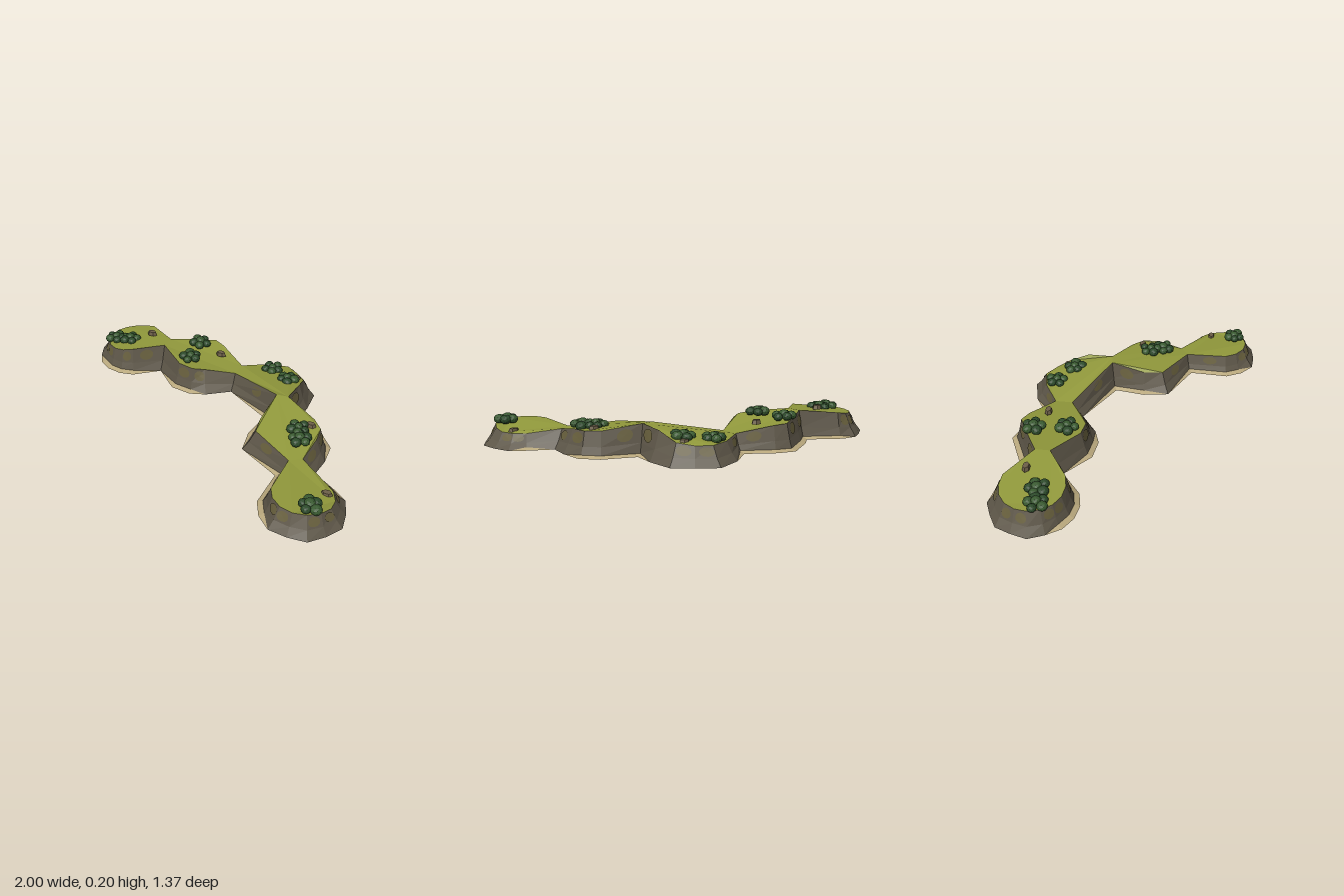
import * as THREE from 'three';

const mat = (name, color, side = THREE.FrontSide) =>
  Object.assign(new THREE.MeshStandardMaterial({ color, side, flatShading: true }), { name });

// Ground height anywhere, blended from a few spot heights (x, z, height)
const SPOTS = [
  [-.93, -.45, .12], [-.51, -.44, .162], [-.25, -.44, .15], [0, -.44, .1], [.27, -.61, .1],
  [.42, -.22, .168], [.66, 0, .135], [.64, .22, .102], [.36, .08, .12], [.88, .3, .08], [.75, .6, .112],
];
function ground(x, z) {
  let sum = 0, total = 0;
  for (const [sx, sz, y] of SPOTS) {
    const w = 1 / ((sx - x) ** 2 + (sz - z) ** 2 + .004) ** 2;
    sum += y * w;
    total += w;
  }
  return sum / total;
}

// Rounded end of the ridge, angles in degrees
const arc = (cx, cz, r, from, to, steps) => Array.from({ length: steps + 1 }, (_, i) => {
  const a = THREE.MathUtils.degToRad(from + (to - from) * i / steps);
  return [cx + r * Math.cos(a), cz + r * Math.sin(a)];
});

// Grass edge, clockwise from above: left end, back, right end, front
const EDGE = [
  ...arc(-.752, -.44, .175, 65, 285, 10),
  [-.51, -.485], [-.4, -.55], [-.25, -.63], [-.18, -.6], [0, -.49], [.155, -.585], [.27, -.61],
  [.35, -.56], [.415, -.49], [.43, -.37], [.42, -.215], [.62, -.115], [.68, -.05], [.69, .05], [.67, .2],
  ...arc(.765, .45, .165, -65, 165, 9),
  [.605, .245], [.355, .11], [.335, 0], [.35, -.205], [0, -.39], [-.165, -.295],
  [-.235, -.26], [-.33, -.27], [-.51, -.4],
].map(([x, z]) => new THREE.Vector2(x, z));
const N = EDGE.length;

// Runs of edge points with a sandy beach at the foot
const BEACHES = [[0, 3], [10, 15], [21, 23], [26, 26], [34, 36], [38, 39], [42, 43]];

// Cliff cross-section at each edge point, pushed outward along the corner normal
const SECTIONS = EDGE.map((p, i) => {
  const before = p.clone().sub(EDGE[(i + N - 1) % N]).normalize();
  const after = EDGE[(i + 1) % N].clone().sub(p).normalize();
  const along = before.add(after).normalize();
  const sandy = BEACHES.some(([a, b]) => i >= a && i <= b);
  const reach = sandy ? .068 : i % 2 ? .075 : .062;
  const h = ground(p.x, p.y);
  const at = (t, y) => new THREE.Vector3(p.x + along.y * reach * t, y, p.y - along.x * reach * t);
  return {
    sandy,
    top: at(0, h),
    mid: at(sandy ? .32 : .5, h * .4),
    foot: at(sandy ? .55 : 1, sandy ? .012 : 0),
    shore: at(1, 0),
  };
});

function surface(points) {
  const g = new THREE.BufferGeometry().setFromPoints(points);
  g.computeVertexNormals();
  return g;
}

// Closed band between two levels of the cross-sections
function band(upper, lower, keep = () => true) {
  const pts = [];
  SECTIONS.forEach((p, i) => {
    const q = SECTIONS[(i + 1) % N];
    if (keep(p, q)) pts.push(p[upper], q[upper], q[lower], p[upper], q[lower], p[lower]);
  });
  return surface(pts);
}

// Oval moss plates lying on the steep part of the cliff
function mossPatches() {
  const pts = [];
  SECTIONS.forEach((p, i) => {
    const q = SECTIONS[(i + 1) % N];
    const length = p.top.distanceTo(q.top);
    if (length < .065 || i % 3 === 1) return;
    const normal = q.top.clone().sub(p.top).cross(p.mid.clone().sub(p.top)).normalize();
    const on = (u, v) => p.top.clone().lerp(q.top, u)
      .lerp(p.mid.clone().lerp(q.mid, u), v).addScaledVector(normal, .004);
    const ru = Math.min(.4, .045 / length), cu = i % 2 ? .42 : .56;
    const rim = k => on(cu + ru * Math.cos(k * Math.PI / 6), .5 + .36 * Math.sin(k * Math.PI / 6));
    for (let k = 0; k < 12; k++) pts.push(on(cu, .5), rim(k), rim(k + 1));
  });
  return surface(pts);
}

export function createModel() {
  const model = new THREE.Group();
  model.name = 'grassyRidge';
  const both = THREE.DoubleSide;
  const grass = mat('grass', 0x929a3c, both), rock = mat('rock', 0x5d5648, both);
  const sand = mat('sand', 0xb9a87d, both), moss = mat('moss', 0x655d3b, both);
  const leafDark = mat('dark leaves', 0x2c4a2a), leafLight = mat('light leaves', 0x38592f);
  const stone = mat('stone', 0x6e6049);
  const add = (name, geo, material, parent = model) => {
    const mesh = new THREE.Mesh(geo, material);
    mesh.name = name;
    parent.add(mesh);
    return mesh;
  };

  // Grass plateau following the ground height
  const plateau = new THREE.ShapeGeometry(
    new THREE.Shape(EDGE.map(p => new THREE.Vector2(p.x, -p.y))));
  plateau.rotateX(-Math.PI / 2);
  const pos = plateau.attributes.position;
  for (let i = 0; i < pos.count; i++) pos.setY(i, ground(pos.getX(i), pos.getZ(i)));
  plateau.computeVertexNormals();
  add('grassTop', plateau, grass);

  // Cliff, its flared foot, moss and beach
  add('cliff', band('top', 'mid'), rock);
  add('cliffFoot', band('mid', 'foot'), rock);
  add('cliffMoss', mossPatches(), moss);
  add('beach', band('foot', 'shore', (p, q) => p.sandy || q.sandy), sand);

  let seed = 7;
  const rand = () => (seed = (seed * 16807) % 2147483647) / 2147483647;

  // Bushes: a ring of round blobs about a taller one
  const blob = new THREE.IcosahedronGeometry(1, 1);
  const bushes = [
    [-.32, -.54], [-.295, -.355], [-.87, -.39], [-.775, -.41],
    [.195, -.525], [.325, -.44], [.57, .01], [.605, .085], [.83, .535],
  ];
  for (const [x, z] of bushes) {
    const bush = new THREE.Group();
    bush.name = 'bush';
    bush.position.set(x, ground(x, z), z);
    model.add(bush);
    const turn = rand() * 6;
    for (let k = 0; k < 6; k++) {
      const centre = k === 5;
      const a = turn + k * Math.PI * .4, d = centre ? 0 : .034 + rand() * .012;
      const r = .025 + rand() * .008;
      const leaf = add('bushBlob', blob, k % 2 ? leafLight : leafDark, bush);
      leaf.position.set(Math.cos(a) * d, centre ? .024 : .01 + rand() * .008, Math.sin(a) * d);
      leaf.scale.set(r, r * .85, r);
      leaf.rotation.y = a;
    }
  }

  // Small flat stones
  const pebble = new THREE.CylinderGeometry(.026, .034, .024, 6);
  for (const [x, z] of [[-.655, -.495], [-.15, -.495], [.365, -.495], [.62, -.05], [.87, .385]]) {
    const s = add('stone', pebble, stone);
    s.position.set(x, ground(x, z) + .008, z);
    s.rotation.y = Math.PI / 2;
    s.scale.x = .65;
  }
  return model;
}
